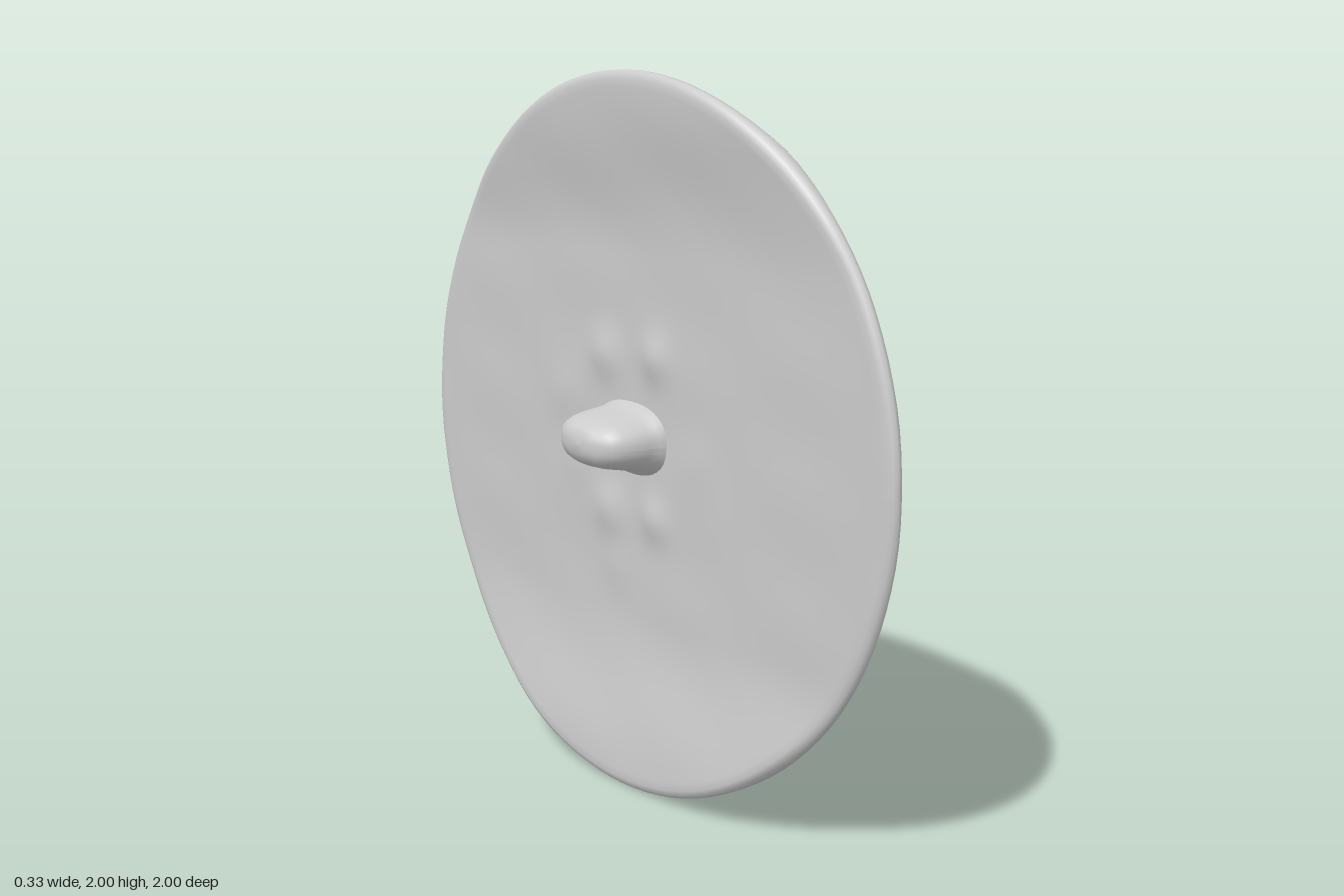
import * as THREE from 'three';

const smooth = THREE.MathUtils.smoothstep;
const material = new THREE.MeshStandardMaterial({ color: 0xcccccc, side: THREE.DoubleSide });

// Lathe around the x axis, centred on y = 1; profile points are [x, radius]
function latheX(profile, segments) {
  const geo = new THREE.LatheGeometry(profile.map(([x, r]) => new THREE.Vector2(r, x)), segments);
  return geo.rotateZ(-Math.PI / 2).translate(0, 1, 0);
}

// Move every vertex by a rule, then refresh the normals
function reshape(geo, rule) {
  const pos = geo.attributes.position;
  const v = new THREE.Vector3();
  for (let i = 0; i < pos.count; i++) {
    rule(v.fromBufferAttribute(pos, i));
    pos.setXYZ(i, v.x, v.y, v.z);
  }
  geo.computeVertexNormals();
  return geo;
}

// Low swellings around the hub: [y, z, radius, height]
const bumps = [
  [1.23, 0.1, 0.06, 0.017], [1.22, -0.12, 0.07, 0.017],
  [0.78, 0.1, 0.06, 0.016], [0.78, -0.1, 0.07, 0.016],
  [0.62, -0.08, 0.07, 0.006], [1.08, -0.32, 0.08, 0.006],
  [0.97, 0.27, 0.08, 0.005], [0.9, -0.25, 0.07, 0.006],
];

function makeDisc() {
  const back = 0.015, front = 0.055, rings = 44;
  const profile = [];
  for (let i = 0; i <= rings; i++) profile.push([back, 0.975 * i / rings]);
  profile.push([back + 0.006, 0.99], [0.03, 0.998], [0.04, 0.998], [front - 0.006, 0.988]);
  for (let i = rings; i >= 0; i--) profile.push([front, 0.97 * i / rings]);

  return reshape(latheX(profile, 112), (v) => {
    const side = v.x > 0.035 ? 1 : -1;
    const t = (v.x - back) / (front - back);
    const d = Math.abs(v.y - 1);
    // Swellings on both faces
    for (const [y, z, r, h] of bumps) {
      v.x += side * h * Math.exp(-((v.y - y) ** 2 + (v.z - z) ** 2) / (r * r));
    }
    // Top and bottom curl toward -x, the back face earlier than the front
    v.x -= THREE.MathUtils.lerp(0.055 * smooth(d, 0.5, 1), 0.055 * smooth(d, 0.78, 1), t);
    // Slight uneven surface
    v.x += 0.0015 * Math.sin(v.y * 19 + v.z * 4) * Math.sin(v.z * 7);
    v.y = 1 + (v.y - 1) * 1.002;
  });
}

// Oval hub through the disc: [x, half height, half depth, centre z]
const hubSections = [
  [-0.165, 0.001, 0.001, -0.02], [-0.163, 0.025, 0.045, -0.02], [-0.153, 0.047, 0.085, -0.02],
  [-0.13, 0.061, 0.118, -0.02], [-0.1, 0.07, 0.138, -0.022], [-0.06, 0.077, 0.151, -0.022],
  [-0.03, 0.081, 0.152, -0.02], [0, 0.09, 0.15, -0.012], [0.02, 0.105, 0.155, -0.005],
  [0.05, 0.11, 0.157, -0.005], [0.065, 0.094, 0.146, -0.005], [0.085, 0.083, 0.138, -0.005],
  [0.115, 0.079, 0.134, -0.005], [0.138, 0.07, 0.122, -0.005], [0.153, 0.053, 0.095, -0.005],
  [0.162, 0.028, 0.05, -0.005], [0.164, 0.001, 0.001, -0.005],
];

function makeHub() {
  const geo = latheX(hubSections.map(([x]) => [x, 1]), 40);
  return reshape(geo, (v) => {
    const [, h, d, z] = hubSections.find(([x]) => Math.abs(x - v.x) < 1e-4);
    // Slightly squared oval, a little higher toward the back
    const c = v.y - 1, s = v.z;
    const k = 1 / Math.pow(Math.abs(c) ** 2.4 + Math.abs(s) ** 2.4, 1 / 2.4);
    v.y = 1 + c * h * k - 0.04 * s * d;
    v.z = z + s * d * k;
  });
}

export function createModel() {
  const model = new THREE.Group();
  model.name = 'discWithHub';
  for (const [name, geo] of [['disc', makeDisc()], ['hub', makeHub()]]) {
    const mesh = new THREE.Mesh(geo, material);
    mesh.name = name;
    model.add(mesh);
  }
  return model;
}
